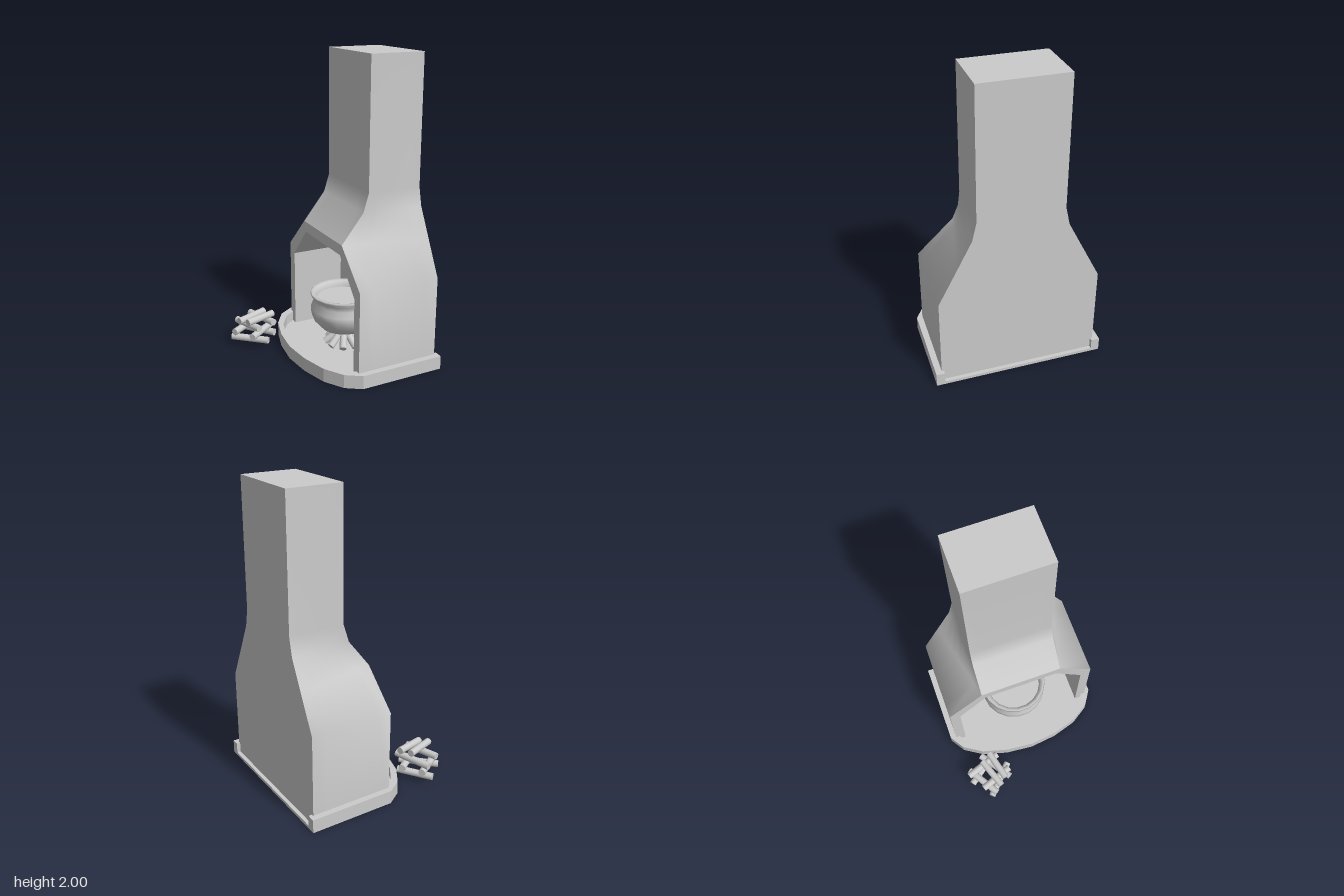
import * as THREE from 'three';

const mat = new THREE.MeshStandardMaterial({ color: 0xcccccc });
const matTwo = new THREE.MeshStandardMaterial({ color: 0xcccccc, side: THREE.DoubleSide });

function add(parent, name, geometry, material = mat) {
  const mesh = new THREE.Mesh(geometry, material);
  mesh.name = name;
  parent.add(mesh);
  return mesh;
}

// Ruled surface between two polylines; its front is (b - a) x (direction of the lines)
function strip(a, b, n = 6) {
  const pos = [], idx = [];
  a.forEach((p, r) => {
    for (let i = 0; i <= n; i++) pos.push(...p.clone().lerp(b[r], i / n).toArray());
    if (!r) return;
    for (let i = 0; i < n; i++) {
      const k = (r - 1) * (n + 1) + i, m = k + n + 1;
      idx.push(k, k + 1, m, k + 1, m + 1, m);
    }
  });
  const g = new THREE.BufferGeometry();
  g.setAttribute('position', new THREE.Float32BufferAttribute(pos, 3));
  g.setIndex(idx);
  g.computeVertexNormals();
  return g;
}

// Slab from an outline in x and z, standing between y0 and y1
function slab(points, y0, y1) {
  const shape = new THREE.Shape(points.map(([x, z]) => new THREE.Vector2(x, z)));
  const g = new THREE.ExtrudeGeometry(shape, { depth: y1 - y0, bevelEnabled: false });
  return g.rotateX(Math.PI / 2).translate(0, y1, 0);
}

// Flat face looking towards -x, from an outline in z and y
function facing(points, x) {
  const shape = new THREE.Shape(points.map(([z, y]) => new THREE.Vector2(z, y)));
  return new THREE.ShapeGeometry(shape).rotateY(-Math.PI / 2).translate(x, 0, 0);
}

// Round log between two points
function log(parent, name, from, to, radius) {
  const a = new THREE.Vector3(...from), b = new THREE.Vector3(...to);
  const mesh = add(parent, name, new THREE.CylinderGeometry(radius, radius, a.distanceTo(b), 12));
  mesh.position.copy(a).lerp(b, 0.5);
  mesh.quaternion.setFromUnitVectors(new THREE.Vector3(0, 1, 0), b.sub(a).normalize());
}

const mirrorLine = (half) => [...half, ...half.slice().reverse().filter(([, z]) => z !== 0).map(([x, z]) => [x, -z])];
const mirrorArch = (half) => [...half, ...half.slice().reverse().map(([z, y]) => [-z, y])];

function buildHearth() {
  const hearth = new THREE.Group();
  hearth.name = 'hearth';
  const outer = mirrorLine([[0.55, -0.555], [-0.02, -0.555], [-0.12, -0.49], [-0.2, -0.365], [-0.25, -0.19], [-0.27, 0]]);
  const inner = mirrorLine([[0.55, -0.5], [-0.02, -0.495], [-0.1, -0.44], [-0.175, -0.33], [-0.22, -0.175], [-0.237, 0]]);
  add(hearth, 'hearthFloor', slab(outer, 0, 0.02));
  add(hearth, 'hearthRim', slab([...outer, ...inner.reverse()], 0.005, 0.09));
  return hearth;
}

function buildChimney() {
  const chimney = new THREE.Group();
  chimney.name = 'chimney';
  const back = 0.525, front = -0.03, innerBack = 0.34;

  // Rows: height, front x, half width at the front, half width at the back
  const rows = [
    [0.02, front, 0.515, 0.515], [0.62, front, 0.515, 0.515], [0.85, front, 0.275, 0.397],
    [1.04, 0.12, 0.275, 0.3], [1.16, 0.157, 0.273, 0.273], [2, 0.157, 0.273, 0.273],
  ];
  const edge = (isBack, side) => rows.map(([y, x, zf, zb]) =>
    new THREE.Vector3(isBack ? back : x, y, side * (isBack ? zb : zf)));
  add(chimney, 'leftWall', strip(edge(false, 1), edge(true, 1)));
  add(chimney, 'backWall', strip(edge(true, 1), edge(true, -1)));
  add(chimney, 'rightWall', strip(edge(true, -1), edge(false, -1)));
  add(chimney, 'hood', strip(edge(false, -1).slice(2), edge(false, 1).slice(2)));
  const cap = add(chimney, 'chimneyTop', new THREE.PlaneGeometry(back - 0.157, 0.546).rotateX(-Math.PI / 2));
  cap.position.set((back + 0.157) / 2, 2, 0);

  // Arched opening and the firebox behind it
  const outerArch = mirrorArch([[0.515, 0.02], [0.515, 0.62], [0.275, 0.85]]);
  const innerArch = mirrorArch([[0.445, 0.02], [0.445, 0.56], [0.25, 0.78]]);
  add(chimney, 'archFrame', facing([...outerArch, ...innerArch.slice().reverse()], front));
  const archAt = (x) => innerArch.map(([z, y]) => new THREE.Vector3(x, y, z));
  const lining = strip(archAt(innerBack), archAt(front), 1).toNonIndexed();
  lining.computeVertexNormals();
  add(chimney, 'fireboxLining', lining, matTwo);
  add(chimney, 'fireboxBack', facing(innerArch, innerBack));
  return chimney;
}

function buildFire() {
  const fire = new THREE.Group();
  fire.name = 'cookingFire';
  fire.position.set(0.135, 0, 0);

  // Pot with a flared lip and round belly
  const half = [
    [0, 0.13], [0.09, 0.135], [0.16, 0.165], [0.205, 0.215], [0.226, 0.27], [0.224, 0.305], [0.208, 0.345],
    [0.212, 0.375], [0.229, 0.4], [0.222, 0.409], [0.2, 0.405], [0.188, 0.375], [0.186, 0.35],
  ].map(([r, y]) => new THREE.Vector2(r, y));
  add(fire, 'pot', new THREE.LatheGeometry(half, 18), matTwo);
  const stew = add(fire, 'potContents', new THREE.CircleGeometry(0.19, 18).rotateX(-Math.PI / 2));
  stew.position.y = 0.362;

  // Firewood leaning together under the pot
  const count = 9;
  for (let i = 0; i < count; i++) {
    const a = (i / count) * Math.PI * 2, c = Math.cos(a), s = Math.sin(a);
    log(fire, 'firewood', [0.13 * c, 0.045, 0.13 * s], [0.03 * c, 0.12, 0.03 * s], 0.024);
  }
  return fire;
}

function buildWoodpile() {
  const pile = new THREE.Group();
  pile.name = 'woodpile';
  // Crossed pairs, bottom to top: x and z of both ends
  const layers = [
    [0.045, [-0.527, -0.405, -0.335, -0.218], [-0.394, -0.51, -0.25, -0.315]],
    [0.092, [-0.525, -0.362, -0.306, -0.502], [-0.444, -0.235, -0.23, -0.388]],
    [0.142, [-0.473, -0.447, -0.394, -0.225], [-0.352, -0.518, -0.27, -0.274]],
    [0.187, [-0.503, -0.32, -0.295, -0.394], [-0.459, -0.274, -0.256, -0.328]],
  ];
  for (const [y, ...logs] of layers)
    for (const [x0, z0, x1, z1] of logs)
      log(pile, 'log', [x0, y - 0.004, z0], [x1, y + 0.004, z1], 0.024);
  return pile;
}

export function createModel() {
  const model = new THREE.Group();
  model.name = 'fireplace';
  model.add(buildHearth(), buildChimney(), buildFire(), buildWoodpile());
  return model;
}
